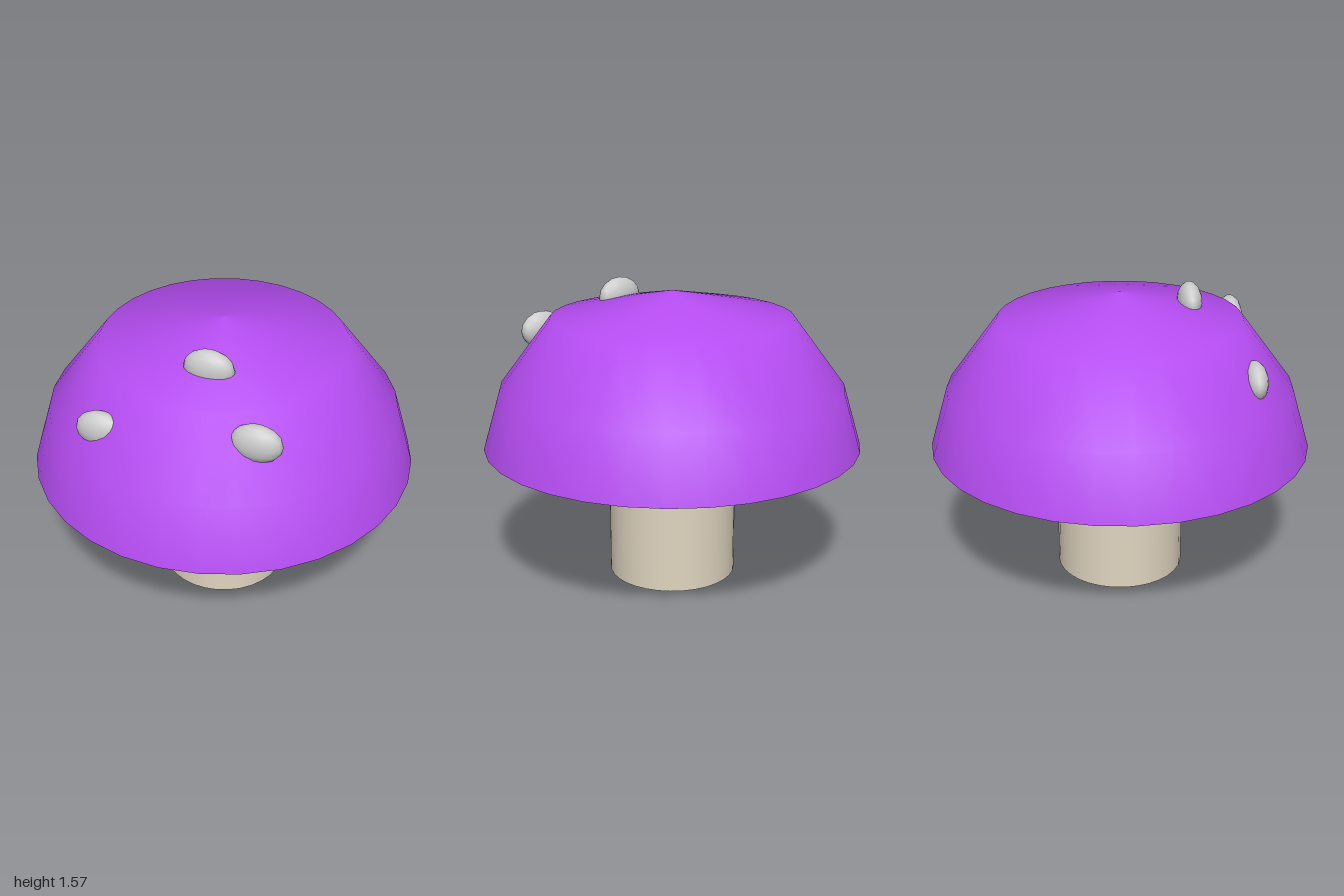
import * as THREE from 'three';

export function createModel() {
  const model = new THREE.Group();
  const capMaterial = new THREE.MeshStandardMaterial({ color: 0xb44cf0 });
  const stemMaterial = new THREE.MeshStandardMaterial({ color: 0xe0d5c0 });
  const spotMaterial = new THREE.MeshStandardMaterial({ color: 0xcccccc });

  const add = (name, geometry, material, x = 0, y = 0, z = 0) => {
    const mesh = new THREE.Mesh(geometry, material);
    mesh.name = name;
    mesh.position.set(x, y, z);
    model.add(mesh);
    return mesh;
  };

  // Stem: plain cylinder from the ground to the underside of the cap
  add('stem', new THREE.CylinderGeometry(0.34, 0.34, 0.73, 32), stemMaterial, 0, 0.365, 0);

  // Cap: three-tier dome with smooth shading
  const profile = [[1, 0.73], [0.905, 1.05], [0.635, 1.41], [0, 1.545]]
    .map(([r, y]) => new THREE.Vector2(r, y));
  add('cap', new THREE.LatheGeometry(profile, 32), capMaterial);

  // Flat underside of the cap
  const underside = new THREE.CircleGeometry(1, 32).rotateX(Math.PI / 2);
  add('capUnderside', underside, capMaterial, 0, 0.73, 0);

  // Spots: flattened ellipsoids half sunk into the front of the cap
  const spot = new THREE.SphereGeometry(1, 16, 8).scale(0.13, 0.1, 0.065);
  add('topSpot', spot, spotMaterial, 0.045, 1.47, 0.365);
  add('leftSpot', spot, spotMaterial, 0.365, 1.29, 0.635);
  add('rightSpot', spot, spotMaterial, -0.415, 1.195, 0.635);

  return model;
}
